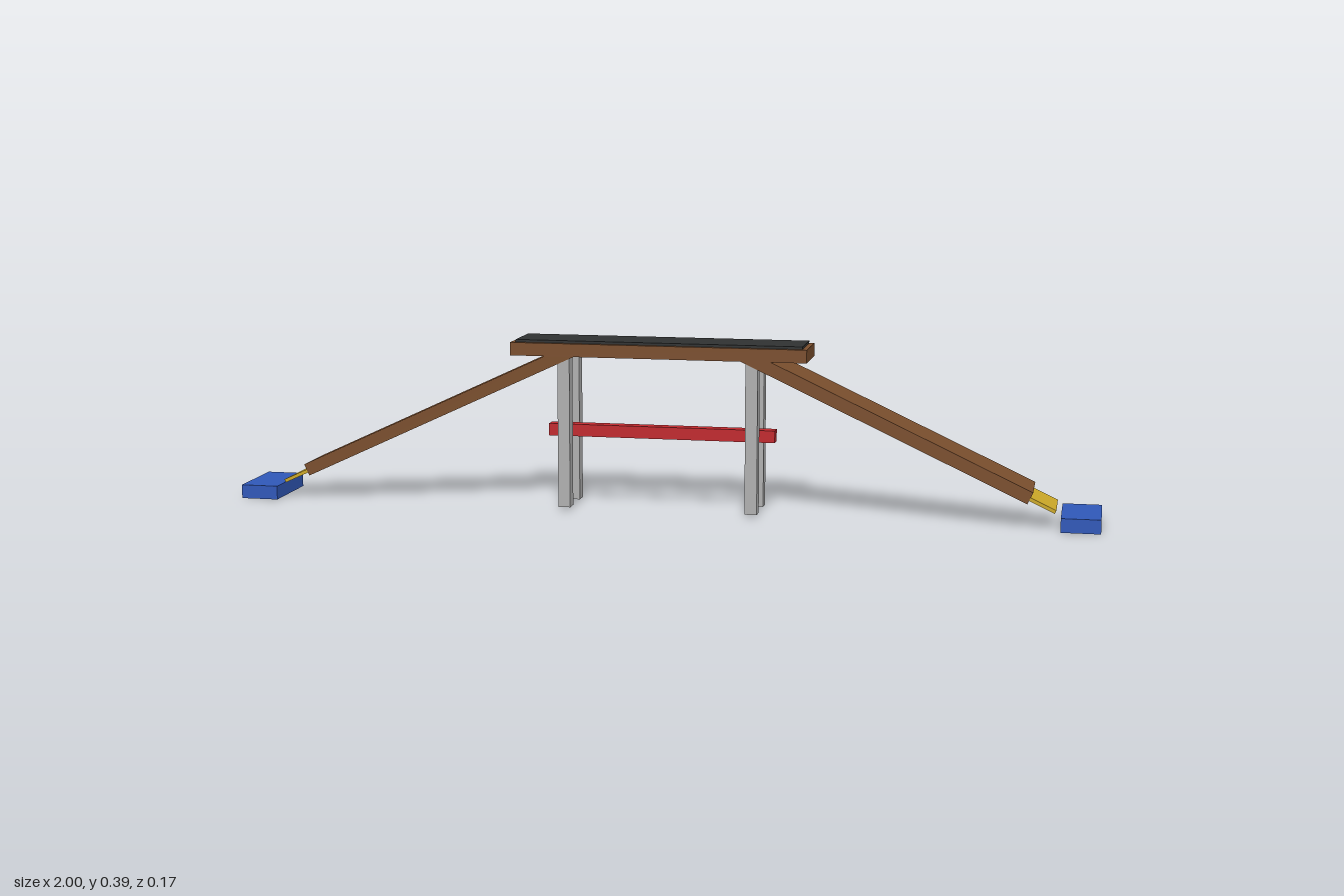
import * as THREE from 'three';

const mat = (color) => new THREE.MeshStandardMaterial({ color });

export function createModel() {
  const model = new THREE.Group();
  const brown = mat(0x7a4e2d), blue = mat(0x3058b8), yellow = mat(0xcca828);
  const red = mat(0xc0282d), dark = mat(0x303232), grey = mat(0xb0b0b0);

  const box = (name, w, h, d, x, y, z, material) => {
    const mesh = new THREE.Mesh(new THREE.BoxGeometry(w, h, d), material);
    mesh.name = name;
    mesh.position.set(x, y, z);
    model.add(mesh);
    return mesh;
  };

  // Sloping board whose centre line runs from (x0, y0) to (x1, y1)
  const board = (name, x0, y0, x1, y1, thickness, depth, material) => {
    const length = Math.hypot(x1 - x0, y1 - y0);
    const mesh = box(name, length, thickness, depth, (x0 + x1) / 2, (y0 + y1) / 2, 0, material);
    mesh.rotation.z = Math.atan((y1 - y0) / (x1 - x0));
  };

  // Raised deck with its non-slip mat
  box('deck', 0.686, 0.03, 0.13, 0, 0.372, 0, brown);
  box('deckMat', 0.664, 0.008, 0.112, 0, 0.389, 0, dark);

  // Crossbar between the legs
  box('crossbar', 0.53, 0.028, 0.03, 0, 0.179, 0, red);

  for (const [s, side] of [[1, 'left'], [-1, 'right']]) {
    // Two legs at each end of the deck
    for (const z of [0.047, -0.047]) {
      box(side + (z > 0 ? 'FrontLeg' : 'BackLeg'), 0.028, 0.352, 0.03, s * 0.218, 0.182, z, grey);
    }
    // Ramp, contact plate at its foot, and landing pad
    board(side + 'Ramp', s * 0.2, 0.37, s * 0.844, 0.07, 0.029, 0.13, brown);
    board(side + 'ContactPlate', s * 0.82, 0.078, s * 0.9, 0.041, 0.008, 0.124, yellow);
    box(side + 'LandingPad', 0.088, 0.032, 0.17, s * 0.956, 0.016, 0, blue);
  }
  return model;
}
